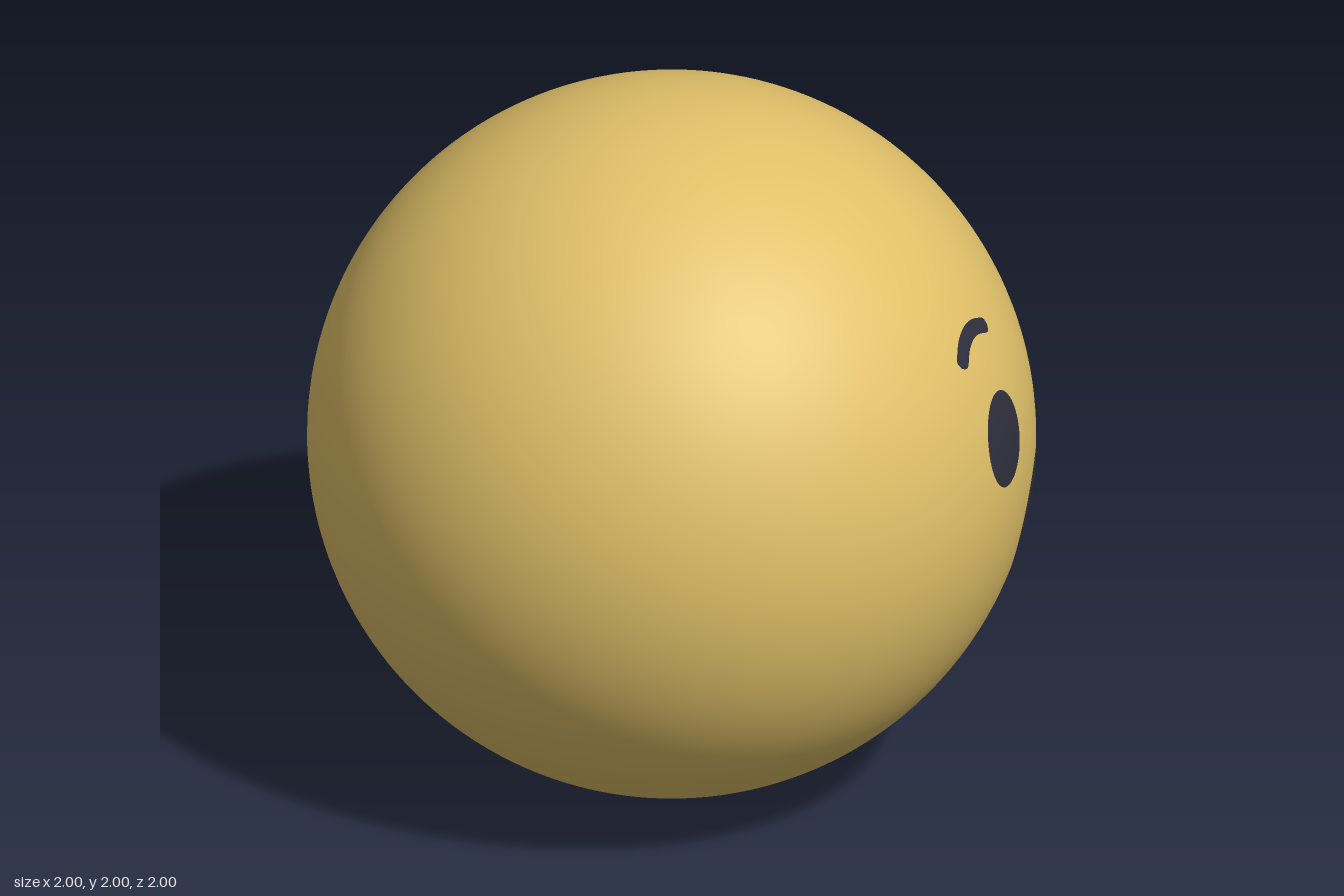
import * as THREE from 'three';

const skin = new THREE.MeshStandardMaterial({ name: 'golden yellow', color: 0xe0c068 });
const dark = new THREE.MeshStandardMaterial({ name: 'dark slate', color: 0x2f2f3d });

const RADIUS = 1;
const SKIN_OFFSET = 0.002;

// Thin patch wrapped on the ball's +x side. map(u, v) gives a point (s, y)
// on the face plane: s runs to the viewer's right (-z), y up from the ball's centre.
function facePatch(name, nu, nv, map) {
  const geometry = new THREE.PlaneGeometry(1, 1, nu, nv);
  const position = geometry.attributes.position;
  const normal = geometry.attributes.normal;
  const r = RADIUS + SKIN_OFFSET;
  for (let i = 0; i < position.count; i++) {
    const [s, y] = map(position.getX(i) + 0.5, position.getY(i) + 0.5);
    const p = new THREE.Vector3(Math.sqrt(1 - s * s - y * y), y, -s);
    normal.setXYZ(i, p.x, p.y, p.z);
    position.setXYZ(i, p.x * r, p.y * r, p.z * r);
  }
  const mesh = new THREE.Mesh(geometry, dark);
  mesh.name = name;
  return mesh;
}

// Filled, tilted ellipse
function ellipse(name, s, y, a, b, tilt = 0) {
  const c = Math.cos(tilt), n = Math.sin(tilt);
  return facePatch(name, 10, 56, (u, v) => {
    const px = a * u * Math.cos(v * Math.PI * 2);
    const py = b * u * Math.sin(v * Math.PI * 2);
    return [s + px * c - py * n, y + px * n + py * c];
  });
}

// Curved stroke with rounded ends
function stroke(name, points, halfWidth) {
  const curve = new THREE.CatmullRomCurve3(points.map(([s, y]) => new THREE.Vector3(s, y, 0)));
  const length = curve.getLength() + 2 * halfWidth;
  return facePatch(name, 48, 4, (u, v) => {
    const along = u * length - halfWidth;
    const t = THREE.MathUtils.clamp(along / (length - 2 * halfWidth), 0, 1);
    const over = along - t * (length - 2 * halfWidth);
    const p = curve.getPointAt(t);
    const d = curve.getTangentAt(t);
    const w = (v * 2 - 1) * Math.sqrt(Math.max(0, halfWidth ** 2 - over ** 2));
    return [p.x + d.x * over - d.y * w, p.y + d.y * over + d.x * w];
  });
}

export function createModel() {
  const model = new THREE.Group();
  model.name = 'surprisedBall';

  const head = new THREE.Mesh(new THREE.SphereGeometry(RADIUS, 128, 96), skin);
  head.name = 'head';

  // Surprised face, looking along +x
  const face = new THREE.Group();
  face.name = 'face';
  face.add(
    ellipse('mouth', -0.032, -0.229, 0.213, 0.238),
    ellipse('leftEye', -0.378, 0.173, 0.096, 0.135, -0.26),
    ellipse('rightEye', 0.308, 0.171, 0.1, 0.137, 0.26),
    stroke('leftBrow', [[-0.43, 0.437], [-0.39, 0.465], [-0.343, 0.48], [-0.3, 0.478], [-0.256, 0.461]], 0.021),
    stroke('rightBrow', [[0.214, 0.479], [0.262, 0.481], [0.31, 0.47], [0.357, 0.441]], 0.021),
  );

  model.add(head, face);
  model.position.y = RADIUS;
  const root = new THREE.Group();
  root.name = 'model';
  root.add(model);
  return root;
}
